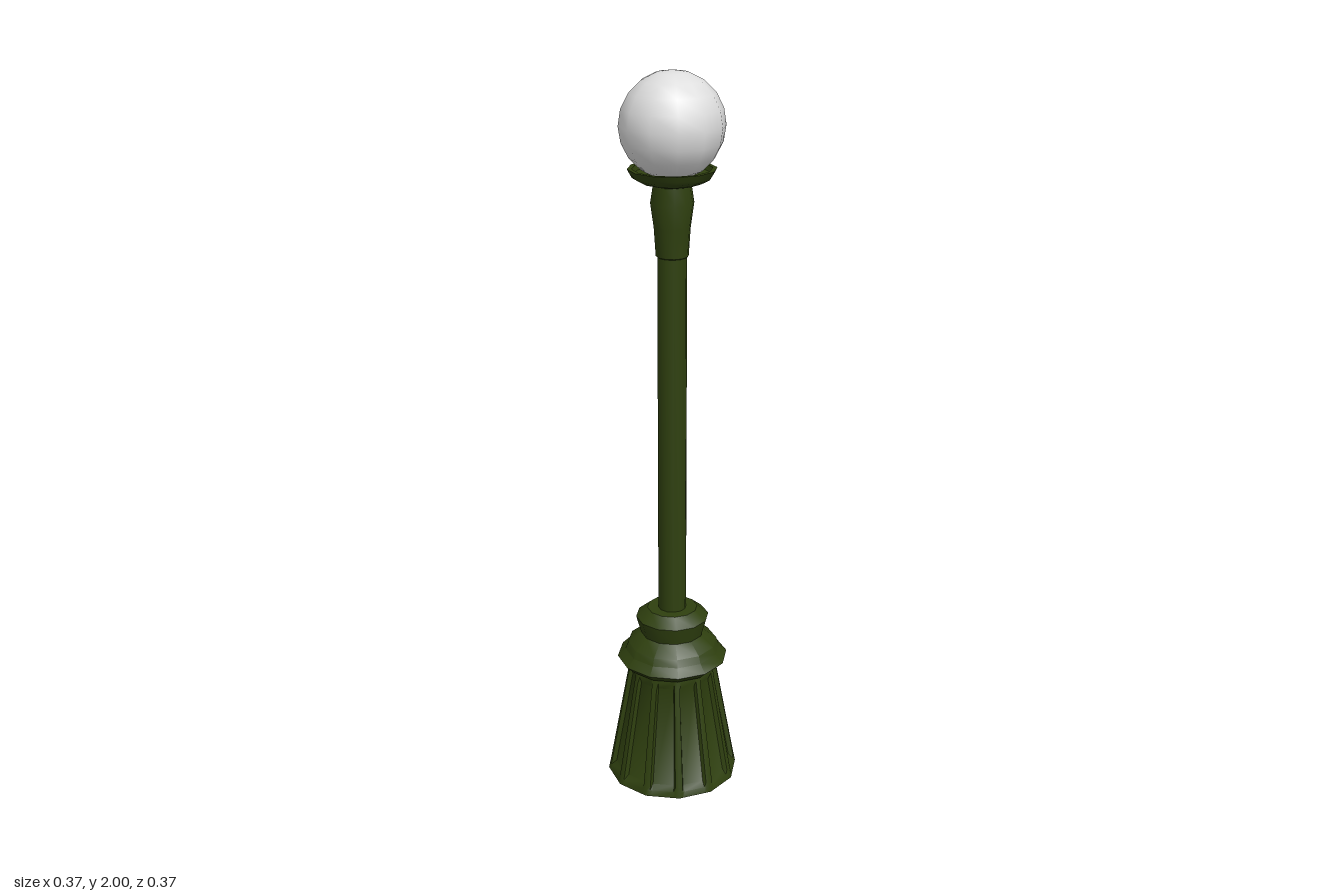
import * as THREE from 'three';
import { toCreasedNormals } from 'three/addons/utils/BufferGeometryUtils.js';

const SIDES = 12;

export function createModel() {
  const group = new THREE.Group();
  const green = new THREE.MeshStandardMaterial({ name: 'dark green iron', color: 0x2f400f });
  const white = new THREE.MeshStandardMaterial({ name: 'frosted white glass', color: 0xdedede });

  const add = (name, geometry, material) => {
    const mesh = new THREE.Mesh(geometry, material);
    mesh.name = name;
    group.add(mesh);
    return mesh;
  };
  // Twelve-sided turned part, [radius, height] from bottom to top
  const turned = (name, profile) => {
    const points = profile.map(([r, y]) => new THREE.Vector2(r, y));
    return add(name, toCreasedNormals(new THREE.LatheGeometry(points, SIDES), 0.6), green);
  };

  // Flared base with a rib on every corner and sunken panels between
  add('flutedBase', flutedBase(), green);

  // Stepped collar over the base
  turned('collar', [
    [0.1, 0.335], [0.13, 0.342], [0.155, 0.365], [0.133, 0.387], [0.125, 0.408],
    [0.088, 0.437], [0.102, 0.487], [0.07, 0.513], [0.03, 0.513],
  ]);

  // Slim post
  turned('post', [[0.039, 0.49], [0.039, 1.53]]);

  // Swelling neck under the lamp
  turned('neck', [
    [0.036, 1.52], [0.043, 1.525], [0.048, 1.6], [0.057, 1.665], [0.05, 1.71], [0.05, 1.73],
  ]);

  // Shallow dish that holds the globe
  turned('dish', [
    [0, 1.71], [0.05, 1.71], [0.08, 1.718], [0.103, 1.73], [0.108, 1.738],
    [0.116, 1.753], [0.104, 1.753], [0.098, 1.74], [0, 1.738],
  ]);

  // Round lamp globe
  const globe = add('globe', new THREE.SphereGeometry(0.138, SIDES, 10), white);
  globe.position.y = 1.862;

  return group;
}

// Rings of five points per corner: panel edge, rib edge, corner, rib edge, panel edge
function flutedBase() {
  const levels = [ // radius, height, panel depth
    [0.185, 0, 0], [0.182, 0.016, 0.002], [0.179, 0.03, 0.012],
    [0.128, 0.31, 0.012], [0.124, 0.33, 0], [0.122, 0.345, 0],
  ];
  const corner = (k, r) => {
    const a = (k / SIDES) * Math.PI * 2;
    return new THREE.Vector3(Math.sin(a) * r, 0, Math.cos(a) * r);
  };
  const positions = [];
  const indices = [];
  for (const [r, y, depth] of levels) {
    for (let k = 0; k < SIDES; k++) {
      const c = corner(k, r);
      for (const [offset, sunk] of [[-0.017, 1], [-0.011, 0], [0, 0], [0.011, 0], [0.017, 1]]) {
        const next = corner(k + Math.sign(offset), r);
        const p = c.clone();
        if (offset !== 0) {
          p.addScaledVector(next.clone().sub(c).normalize(), Math.abs(offset) * r / 0.185);
          p.addScaledVector(next.clone().add(c).normalize(), -depth * sunk);
        }
        positions.push(p.x, y, p.z);
      }
    }
  }
  const n = SIDES * 5;
  for (let j = 0; j < levels.length - 1; j++) {
    for (let i = 0; i < n; i++) {
      const a = j * n + i;
      const b = j * n + ((i + 1) % n);
      indices.push(a, b, b + n, a, b + n, a + n);
    }
  }
  // Underside
  const centre = positions.length / 3;
  positions.push(0, 0, 0);
  for (let i = 0; i < n; i++) indices.push(centre, (i + 1) % n, i);

  const geometry = new THREE.BufferGeometry();
  geometry.setAttribute('position', new THREE.Float32BufferAttribute(positions, 3));
  geometry.setIndex(indices);
  return toCreasedNormals(geometry, 0.6);
}
